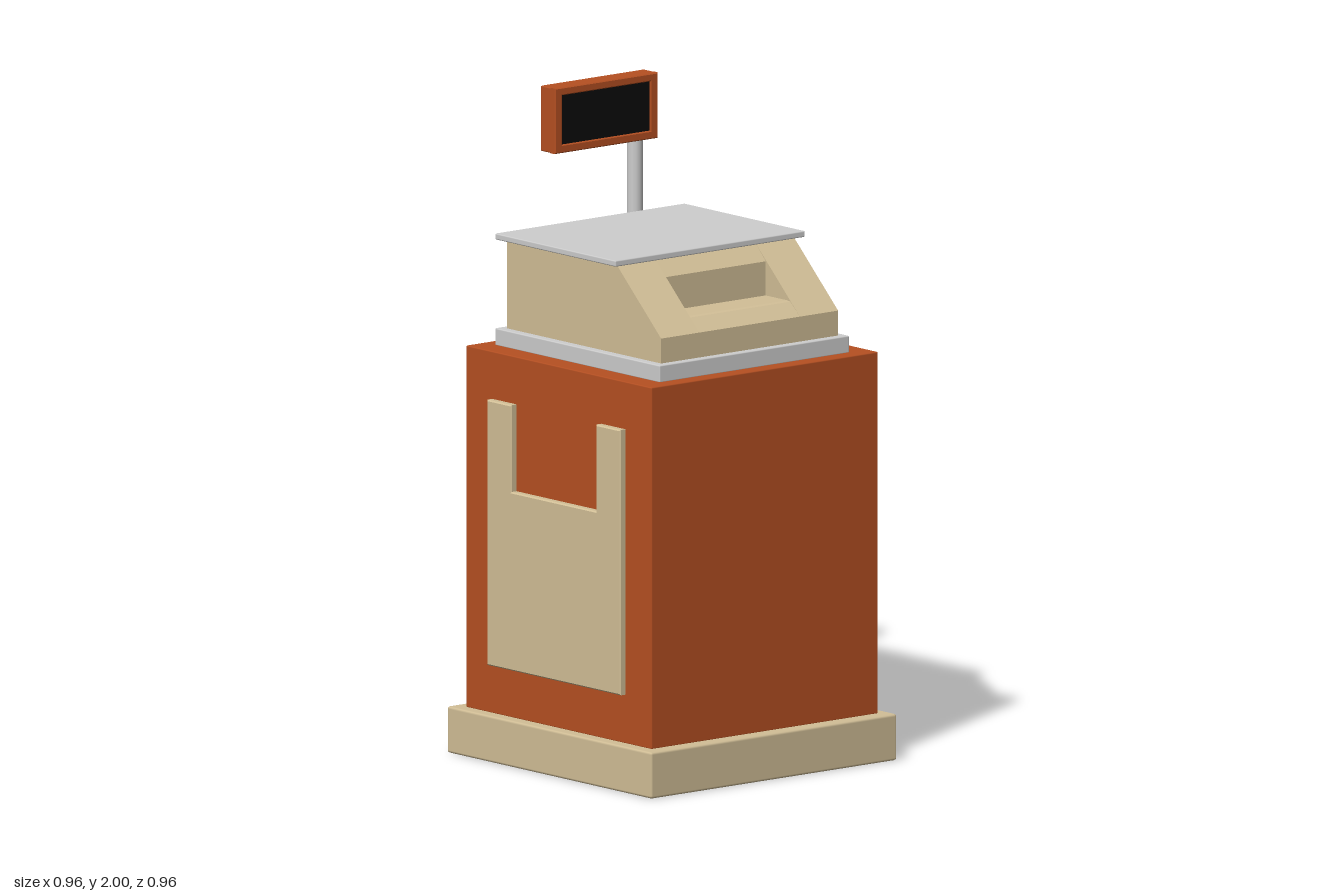
import * as THREE from 'three';
import { RoundedBoxGeometry } from 'three/addons/geometries/RoundedBoxGeometry.js';

const paint = (name, color) => {
  const m = new THREE.MeshStandardMaterial({ color });
  m.name = name;
  return m;
};

export function createModel() {
  const orange = paint('burnt orange', 0xb65022);
  const beige = paint('beige', 0xd2bf97);
  const grey = paint('light grey', 0xcecece);
  const black = paint('screen black', 0x0a0a0a);

  const model = new THREE.Group();
  model.name = 'weighingCounter';

  const add = (name, geometry, material) => {
    const mesh = new THREE.Mesh(geometry, material);
    mesh.name = name;
    model.add(mesh);
    return mesh;
  };

  // Softened box given by its lower and upper limits
  const block = (name, material, [x0, x1], [y0, y1], [z0, z1], r = 0.004) => {
    const g = new RoundedBoxGeometry(x1 - x0, y1 - y0, z1 - z0, 1, r);
    g.translate((x0 + x1) / 2, (y0 + y1) / 2, (z0 + z1) / 2);
    return add(name, g, material);
  };

  // Side profile of [z, y] points, extruded from x0 to x1
  const profile = (name, material, points, x0, x1, bevel = 0) => {
    const shape = new THREE.Shape(points.map(([z, y]) => new THREE.Vector2(-z, y)));
    const g = new THREE.ExtrudeGeometry(shape, {
      depth: x1 - x0 - 2 * bevel,
      bevelEnabled: bevel > 0,
      bevelThickness: bevel,
      bevelSize: bevel,
      bevelOffset: -bevel,
      bevelSegments: 1,
    });
    g.rotateY(Math.PI / 2);
    g.translate(x0 + bevel, 0, 0);
    return add(name, g, material);
  };

  // Cabinet on its plinth
  block('plinth', beige, [-0.48, 0.48], [0, 0.142], [-0.48, 0.477], 0.008);
  block('cabinet', orange, [-0.442, 0.442], [0.14, 1.245], [-0.435, 0.433]);

  // Notched panels on both sides
  const panel = [
    [0.312, 0.29], [-0.312, 0.29], [-0.312, 1.1], [-0.198, 1.1],
    [-0.198, 0.835], [0.198, 0.835], [0.198, 1.1], [0.312, 1.1],
  ];
  profile('leftPanel', beige, panel, 0.436, 0.464, 0.004);
  profile('rightPanel', beige, panel, -0.464, -0.436, 0.004);

  // Scale: tray, sloped body and weighing plate
  block('tray', grey, [-0.37, 0.37], [1.243, 1.296], [-0.387, 0.385]);
  const back = [[-0.36, 1.295], [-0.36, 1.567], [0.153, 1.567]];
  const front = [[0.362, 1.372], [0.362, 1.295]];
  const recess = [[0.202, 1.517], [0.202, 1.413], [0.303, 1.413], [0.317, 1.411]];
  profile('scaleBodyRight', beige, [...back, ...front], -0.345, -0.196);
  profile('scaleBodyRecess', beige, [...back, ...recess, ...front], -0.196, 0.196);
  profile('scaleBodyLeft', beige, [...back, ...front], 0.196, 0.345);
  block('weighingPlate', grey, [-0.37, 0.37], [1.566, 1.585], [-0.387, 0.178]);

  // Post behind the scale
  const post = add('post', new THREE.CylinderGeometry(0.024, 0.024, 0.57, 12), grey);
  post.position.set(0.193, 1.525, -0.407);

  // Display: back shell, raised frame and screen
  block('displayShell', orange, [-0.145, 0.258], [1.8, 2], [-0.443, -0.388]);
  const rect = (Type, x0, x1, y0, y1) => new Type([
    new THREE.Vector2(x0, y0), new THREE.Vector2(x1, y0),
    new THREE.Vector2(x1, y1), new THREE.Vector2(x0, y1),
  ]);
  const frame = rect(THREE.Shape, -0.145, 0.258, 1.8, 2);
  frame.holes.push(rect(THREE.Path, -0.116, 0.229, 1.825, 1.976));
  const frameGeometry = new THREE.ExtrudeGeometry(frame, {
    depth: 0.018, bevelEnabled: true, bevelThickness: 0.003,
    bevelSize: 0.003, bevelOffset: -0.003, bevelSegments: 1,
  });
  add('displayFrame', frameGeometry, orange).position.z = -0.396;
  const screen = add('screen', new THREE.BoxGeometry(0.35, 0.156, 0.008), black);
  screen.position.set(0.0565, 1.9005, -0.386);

  return model;
}
